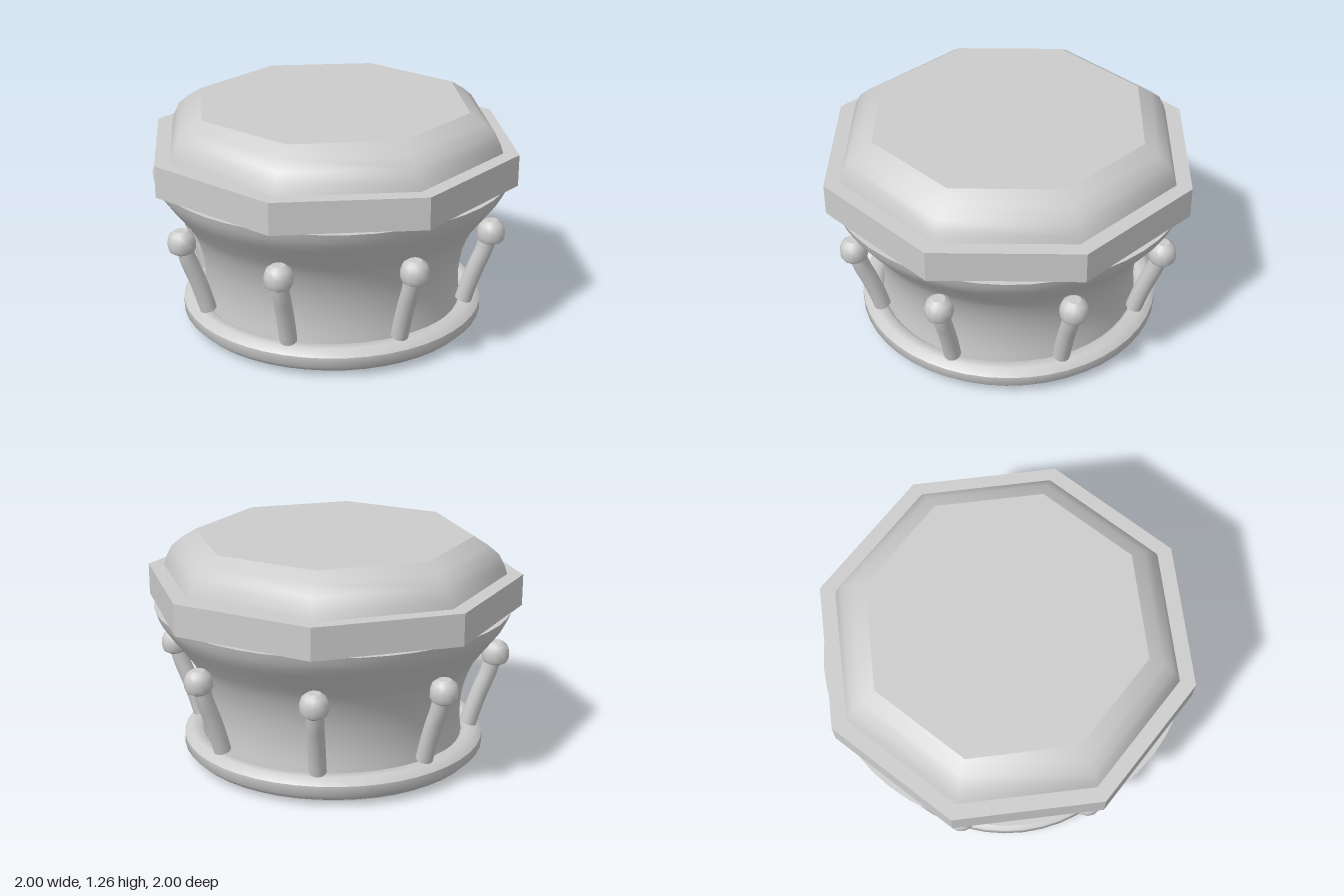
import * as THREE from 'three';

const grey = new THREE.MeshStandardMaterial({ color: 0xcccccc });
grey.name = 'plain grey';

const toPoints = (list) => list.map(([r, y]) => new THREE.Vector2(r, y));

function add(parent, name, geometry) {
  const mesh = new THREE.Mesh(geometry, grey);
  mesh.name = name;
  parent.add(mesh);
  return mesh;
}

// Flat-faced octagonal prism, sized by the distance from centre to side
function octagon(apothem, y0, y1) {
  const r = apothem / Math.cos(Math.PI / 8);
  const g = new THREE.CylinderGeometry(r, r, y1 - y0, 8, 1, false, Math.PI / 8)
    .translate(0, (y0 + y1) / 2, 0).toNonIndexed();
  g.computeVertexNormals();
  return g;
}

export function createModel() {
  const model = new THREE.Group();
  model.name = 'drum';

  // Base plate and rounded foot ring
  add(model, 'basePlate', new THREE.CylinderGeometry(0.77, 0.77, 0.1, 48).translate(0, 0.05, 0));
  const ring = [];
  for (let i = 0; i <= 8; i++) {
    const a = (i + 0.5) * Math.PI / 4;
    ring.push([0.79 + 0.07 * Math.cos(a), 0.093 + 0.07 * Math.sin(a)]);
  }
  add(model, 'footRing', new THREE.LatheGeometry(toPoints(ring), 48));

  // Flared round body with a flat lid
  const flare = new THREE.SplineCurve(toPoints([
    [0.74, 0.08], [0.725, 0.25], [0.745, 0.42], [0.80, 0.57], [0.875, 0.68], [0.965, 0.80], [1.0, 0.882],
  ]));
  add(model, 'body', new THREE.LatheGeometry(flare.getPoints(18), 48));
  add(model, 'bodyLid', new THREE.CircleGeometry(1, 48).rotateX(-Math.PI / 2).translate(0, 0.882, 0));

  // Octagonal rim with a softly bevelled cushion above it
  add(model, 'rim', octagon(0.97, 0.88, 1.055));
  const k = 1 / Math.cos(Math.PI / 8);
  const cushion = toPoints([[0.89, 1.05], [0.875, 1.1], [0.845, 1.165], [0.79, 1.215], [0.715, 1.265]]
    .map(([r, y]) => [r * k, y]));
  add(model, 'cushionSide', new THREE.LatheGeometry(cushion, 8, Math.PI / 8));
  add(model, 'cushionTop', new THREE.CircleGeometry(0.715 * k, 8, Math.PI / 8)
    .rotateX(-Math.PI / 2).translate(0, 1.265, 0));

  // Eight curved pegs with knobs
  const pegPath = new THREE.CatmullRomCurve3([[0.775, 0.17], [0.8, 0.26], [0.84, 0.38], [0.878, 0.48], [0.905, 0.58]]
    .map(([x, y]) => new THREE.Vector3(x, y, 0)));
  const pegGeo = new THREE.TubeGeometry(pegPath, 10, 0.048, 12);
  const endGeo = new THREE.CircleGeometry(0.048, 12).rotateX(Math.PI / 2).rotateZ(-0.27).translate(0.775, 0.17, 0);
  const knobGeo = new THREE.LatheGeometry(toPoints([
    [0.066, 0.546], [0.077, 0.57], [0.077, 0.61], [0.064, 0.645], [0.036, 0.665],
  ]), 12);
  const knobTop = new THREE.CircleGeometry(0.036, 12).rotateX(-Math.PI / 2).translate(0, 0.665, 0);
  const knobBase = new THREE.ConeGeometry(0.066, 0.036, 12, 1, true).rotateX(Math.PI).translate(0, 0.528, 0);
  for (let i = 0; i < 8; i++) {
    const peg = new THREE.Group();
    peg.name = 'peg' + (i + 1);
    add(peg, 'pegStem', pegGeo);
    add(peg, 'pegEnd', endGeo);
    const knob = new THREE.Group();
    knob.name = 'knob';
    knob.position.x = 0.915;
    add(knob, 'knobSide', knobGeo);
    add(knob, 'knobTop', knobTop);
    add(knob, 'knobBase', knobBase);
    peg.add(knob);
    peg.rotation.y = (i + 0.5) * Math.PI / 4;
    model.add(peg);
  }
  return model;
}
